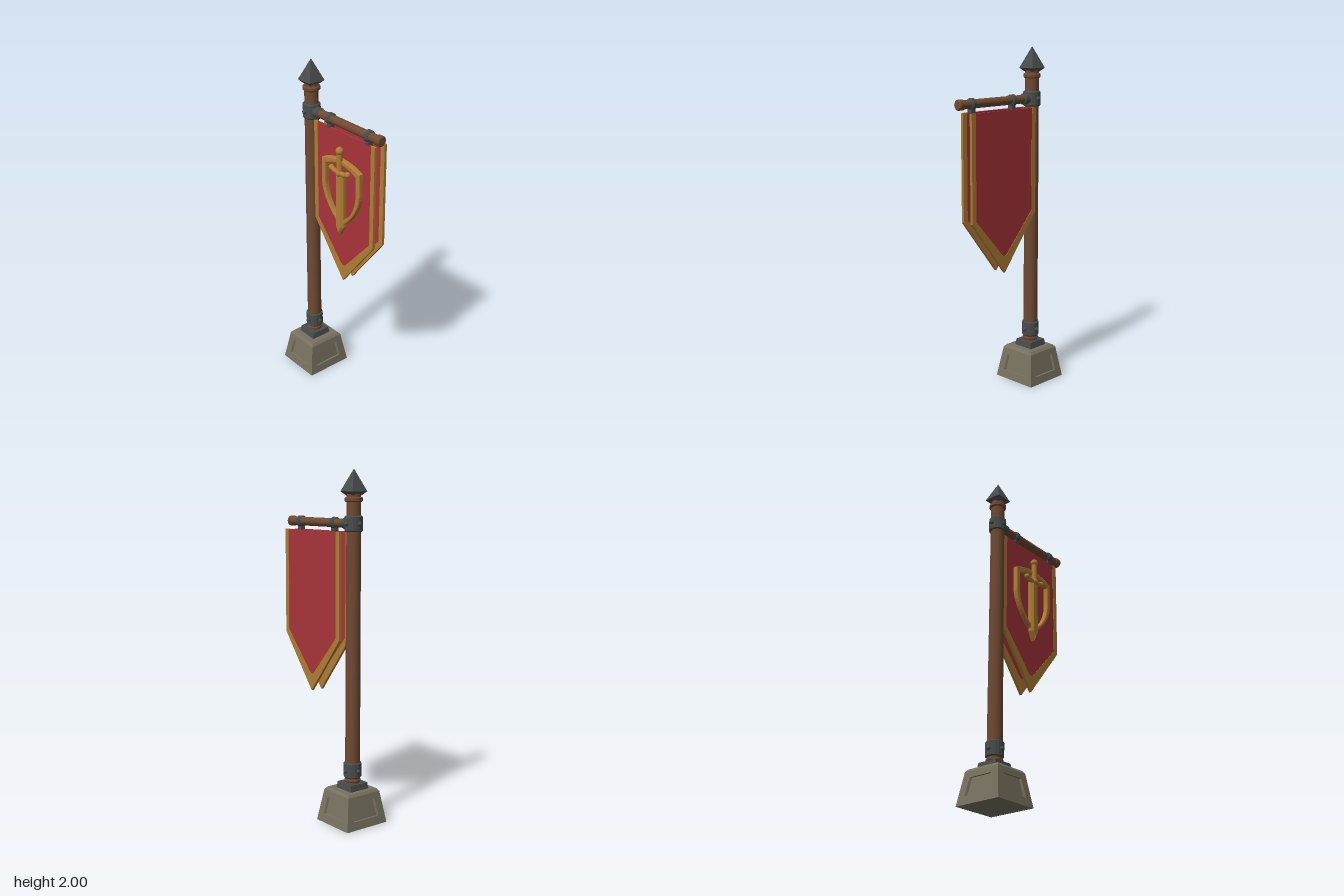
import * as THREE from 'three';

const mat = (name, color) => {
  const m = new THREE.MeshStandardMaterial({ color });
  m.name = name;
  return m;
};

export function createModel() {
  const root = new THREE.Group();
  root.name = 'bannerPost';
  const stone = mat('stone', 0x77715f);
  const iron = mat('darkIron', 0x484d4c);
  const wood = mat('wood', 0x704a32);
  const red = mat('redCloth', 0xa8333a);
  const gold = mat('gold', 0xb07e34);
  const PX = -0.228; // pole axis
  const BAR = 1.705; // crossbar height

  const add = (name, geo, m, x = 0, y = 0, z = 0, parent = root) => {
    const mesh = new THREE.Mesh(geo, m);
    mesh.name = name;
    mesh.position.set(x, y, z);
    parent.add(mesh);
    return mesh;
  };
  const flat = (g) => {
    const f = g.index ? g.toNonIndexed() : g;
    f.computeVertexNormals();
    return f;
  };
  // Square frustum given by half widths, from y0 to y1
  const frustum = (bottom, top, y0, y1) => flat(
    new THREE.CylinderGeometry(top * Math.SQRT2, bottom * Math.SQRT2, y1 - y0, 4)
      .rotateY(Math.PI / 4).translate(0, (y0 + y1) / 2, 0));
  // Turned part with chamfered rims, from 0 to h along y
  const collar = (r, h, c = 0.006) => flat(new THREE.LatheGeometry(
    [[0, 0], [r - c, 0], [r, c], [r, h - c], [r - c, h], [0, h]]
      .map(([a, b]) => new THREE.Vector2(a, b)), 16));
  const shapeOf = (pts) => new THREE.Shape(pts.map(([x, y]) => new THREE.Vector2(x, y)));
  const extrude = (shape, depth, bevel = 0, segments = 2) => new THREE.ExtrudeGeometry(shape, {
    depth, bevelEnabled: bevel > 0, bevelSize: bevel, bevelThickness: bevel,
    bevelOffset: -bevel, bevelSegments: segments, curveSegments: 12,
  });

  // Stone base: core, four recessed-panel faces and a chamfered top
  const base = new THREE.Group();
  base.name = 'stoneBase';
  base.position.x = -0.222;
  base.scale.z = 1.035;
  root.add(base);
  const H = 0.185, D = 0.012;
  const half = (y) => 0.14 - 0.03 * y / H;
  add('baseCore', frustum(0.14 - D, 0.11 - D, 0.001, H), stone, 0, 0, 0, base);
  add('baseTop', frustum(0.11, 0.098, H, 0.2), stone, 0, 0, 0, base);
  const face = shapeOf([[-0.14, 0], [0.14, 0], [0.11, H], [-0.11, H]]);
  face.holes.push(shapeOf([[-0.088, 0.048], [-0.072, 0.148], [0.072, 0.148], [0.088, 0.048]]));
  const faceGeo = extrude(face, D);
  const p = faceGeo.attributes.position;
  for (let i = 0; i < p.count; i++) {
    const h = half(p.getY(i)), z = p.getZ(i) - D;
    p.setXYZ(i, p.getX(i) * (h + z) / h, p.getY(i), h + z); // slope and mitre
  }
  flat(faceGeo);
  for (let i = 0; i < 4; i++) {
    add('basePanelFrame', faceGeo, stone, 0, 0, 0, base).rotation.y = i * Math.PI / 2;
  }

  // Pole and its iron fittings
  add('plinth', frustum(0.065, 0.06, 0.2, 0.236), iron, PX);
  add('pole', new THREE.CylinderGeometry(0.04, 0.043, 1.63, 16), wood, PX, 1.05, 0);
  add('poleFootRing', collar(0.047, 0.02), wood, PX, 0.24, 0);
  add('lowerCollar', collar(0.051, 0.09), iron, PX, 0.265, 0);
  add('upperCollar', collar(0.05, 0.088), iron, PX, BAR - 0.044, 0);
  add('poleTopRing', collar(0.05, 0.028), wood, PX, 1.822, 0);
  const rivet = new THREE.SphereGeometry(0.013, 10, 8);
  for (const y of [0.308, BAR]) {
    for (let i = 0; i < 4; i++) {
      const a = i * Math.PI / 2;
      add('rivet', rivet, iron, PX + 0.051 * Math.sin(a), y, 0.051 * Math.cos(a));
    }
  }

  // Four-sided spear finial
  add('finialFoot', frustum(0.03, 0.052, 1.858, 1.88), iron, PX);
  add('finialTip', frustum(0.052, 0.0005, 1.88, 2), iron, PX);

  // Crossbar with socket, end cap and banner hangers
  const along = (name, geo, m, x) => {
    add(name, geo, m, x, BAR, 0).rotation.z = -Math.PI / 2;
  };
  along('crossbar', collar(0.025, 0.5), wood, -0.17);
  along('crossbarSocket', collar(0.032, 0.045), iron, -0.192);
  along('crossbarEnd', collar(0.03, 0.041), wood, 0.316);
  for (const x of [-0.062, 0.253]) {
    along('hangerRing', collar(0.033, 0.034), iron, x - 0.017);
    add('hangerStrap', new THREE.BoxGeometry(0.03, 0.05, 0.03), iron, x, 1.678, 0);
  }

  // Two pointed cloths, each a red field inside a gold border
  const cx = 0.065;
  const field = new THREE.Shape();
  field.moveTo(-0.222, 1.66);
  field.lineTo(-0.222, 1.064);
  field.lineTo(-0.025, 0.845);
  field.quadraticCurveTo(0, 0.815, 0.025, 0.845);
  field.lineTo(0.222, 1.064);
  field.lineTo(0.222, 1.66);
  const rim = field.getPoints(8);
  const border = shapeOf([[0.252, 1.66], [0.252, 1.052], [0, 0.73], [-0.252, 1.052],
    [-0.252, 1.66], ...rim.map((v) => [v.x, v.y])]);
  const fieldGeo = extrude(field, 0.011).translate(0, 0, -0.0055);
  const borderGeo = extrude(border, 0.016).translate(0, 0, -0.008);
  for (const [name, z] of [['frontCloth', 0.008], ['backCloth', -0.062]]) {
    const cloth = new THREE.Group();
    cloth.name = name;
    cloth.position.set(cx, 0, z);
    root.add(cloth);
    add(name + 'Field', fieldGeo, red, 0, 0, 0, cloth);
    add(name + 'Border', borderGeo, gold, 0, 0, 0, cloth);
  }

  // Raised emblem: shield outline
  const emblem = new THREE.Group();
  emblem.name = 'emblem';
  emblem.position.set(cx, 0, 0.01);
  root.add(emblem);
  const shield = (w, top, corner, tip, Path) => {
    const s = new Path();
    s.moveTo(0, top);
    s.quadraticCurveTo(-w * 0.55, top - 0.002, -w, corner);
    s.lineTo(-w, 1.34);
    s.bezierCurveTo(-w, 1.25, -w * 0.55, 1.16, 0, tip);
    s.bezierCurveTo(w * 0.55, 1.16, w, 1.25, w, 1.34);
    s.lineTo(w, corner);
    s.quadraticCurveTo(w * 0.55, top - 0.002, 0, top);
    return s;
  };
  const outline = shield(0.16, 1.512, 1.476, 1.095, THREE.Shape);
  outline.holes.push(shield(0.128, 1.482, 1.447, 1.14, THREE.Path));
  add('shieldOutline', extrude(outline, 0.02, 0.007), gold, 0, 0, 0.004, emblem);

  // Raised emblem: sword with bevelled blade, curved guard, grip and pommel
  const blade = shapeOf([[-0.031, 1.43], [-0.031, 1.1], [0, 1.045], [0.031, 1.1], [0.031, 1.43]]);
  add('swordBlade', extrude(blade, 0.018, 0.014, 1), gold, 0, 0, 0.012, emblem);
  const guard = new THREE.CatmullRomCurve3(
    [[-0.07, 1.447], [-0.04, 1.436], [0, 1.436], [0.04, 1.436], [0.07, 1.447]]
      .map(([x, y]) => new THREE.Vector3(x, y, 0.033)));
  add('swordGuard', new THREE.TubeGeometry(guard, 16, 0.015, 8), gold, 0, 0, 0, emblem);
  for (const s of [-1, 1]) {
    add('guardEnd', new THREE.SphereGeometry(0.017, 10, 8), gold, s * 0.068, 1.446, 0.033, emblem);
  }
  add('guardBoss', new THREE.SphereGeometry(0.022, 10, 8), gold, 0, 1.436, 0.036, emblem);
  add('swordGrip', new THREE.CylinderGeometry(0.016, 0.018, 0.12, 10), gold, 0, 1.5, 0.033, emblem);
  add('swordPommel', new THREE.SphereGeometry(0.023, 12, 10), gold, 0, 1.566, 0.033, emblem);

  return root;
}
